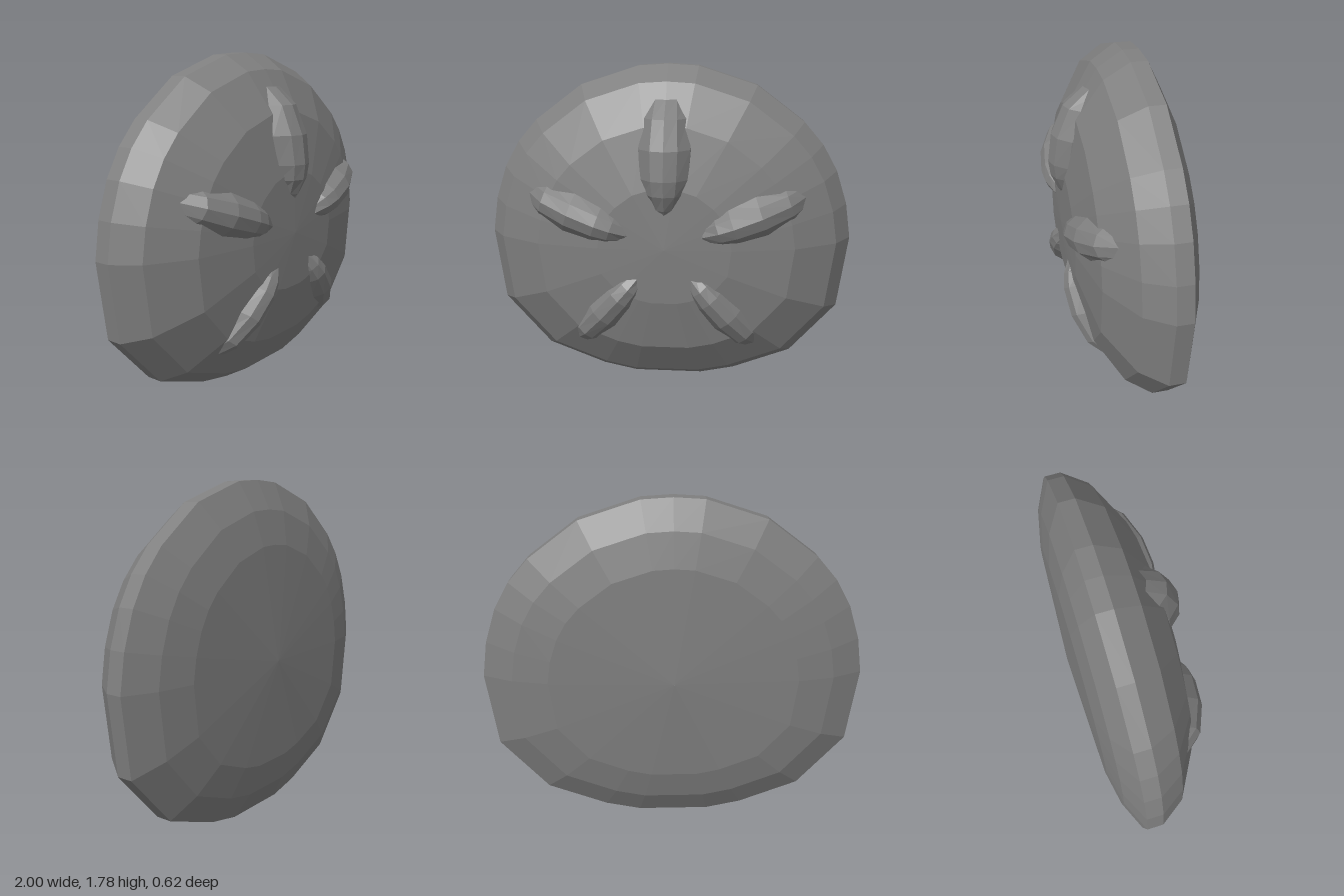
import * as THREE from 'three';

const CY = 0.85; // height of the centre the petals radiate from
const material = new THREE.MeshStandardMaterial({ color: 0x7f7f7f, flatShading: true });

// Right half of the rim, bottom to top
const half = [
  [0.19, 0], [0.38, 0.04], [0.70, 0.165], [0.95, 0.45], [1, 0.85], [0.97, 1.04],
  [0.91, 1.22], [0.83, 1.36], [0.725, 1.48], [0.47, 1.67], [0.16, 1.77],
];
const outline = [...half, [0, 1.78], ...half.map(([x, y]) => [-x, y]).reverse()];

// Joins a series of equal-length cross-sections into one surface
function loft(sections, closed) {
  const n = sections[0].length;
  const index = [];
  for (let i = 0; i < sections.length - 1; i++) {
    for (let j = 0; j < (closed ? n : n - 1); j++) {
      const a = i * n + j, b = i * n + (j + 1) % n;
      index.push(a, b, b + n, a, b + n, a + n);
    }
  }
  const geometry = new THREE.BufferGeometry();
  geometry.setAttribute('position', new THREE.Float32BufferAttribute(sections.flat(2), 3));
  geometry.setIndex(index);
  const flat = geometry.toNonIndexed();
  flat.computeVertexNormals();
  return flat;
}

// Domed disc: the rim outline scaled about the centre, from back to front
function makeBody() {
  const rings = [
    [0.001, -0.31], [0.65, -0.28], [0.84, -0.24], [1, -0.165], [1, -0.08],
    [0.91, 0.05], [0.68, 0.18], [0.35, 0.243], [0.001, 0.255],
  ];
  const sections = rings.map(([s, z]) => outline.map(([x, y]) => [x * s, CY + (y - CY) * s, z]));
  return new THREE.Mesh(loft(sections, true), material);
}

// Raised petal lying along +y, with a blunt outer end sinking into the dome
function makePetal(widthScale, lengthScale, lift) {
  const stations = [ // distance from centre, half width, crest height
    [0.16, 0.05, 0.23], [0.21, 0.08, 0.265], [0.29, 0.115, 0.3], [0.37, 0.13, 0.31],
    [0.52, 0.14, 0.29], [0.67, 0.125, 0.225], [0.76, 0.11, 0.12],
  ];
  const profile = [[-1.05, -0.16], [-0.95, -0.085], [-0.5, -0.02], [0, 0], [0.5, -0.02], [0.95, -0.085], [1.05, -0.16]];
  const sections = stations.map(([r, w, z]) =>
    profile.map(([s, d]) => [s * w * widthScale, r * lengthScale, z + d + lift]));
  return new THREE.Mesh(loft(sections, false), material);
}

export function createModel() {
  const model = new THREE.Group();
  model.name = 'sandDollar';

  const body = makeBody();
  body.name = 'body';
  model.add(body);

  // Five petals: one on top, a pair at the sides, a pair below
  const petals = [
    ['topPetal', 0, 1, 1, 0],
    ['leftPetal', -70, 0.85, 1.03, -0.01], ['rightPetal', 70, 0.85, 1.03, -0.01],
    ['lowerLeftPetal', -139, 0.75, 1, -0.02], ['lowerRightPetal', 139, 0.75, 1, -0.02],
  ];
  for (const [name, degrees, width, length, lift] of petals) {
    const petal = makePetal(width, length, lift);
    petal.name = name;
    petal.position.y = CY;
    petal.rotation.z = THREE.MathUtils.degToRad(degrees);
    model.add(petal);
  }
  return model;
}
